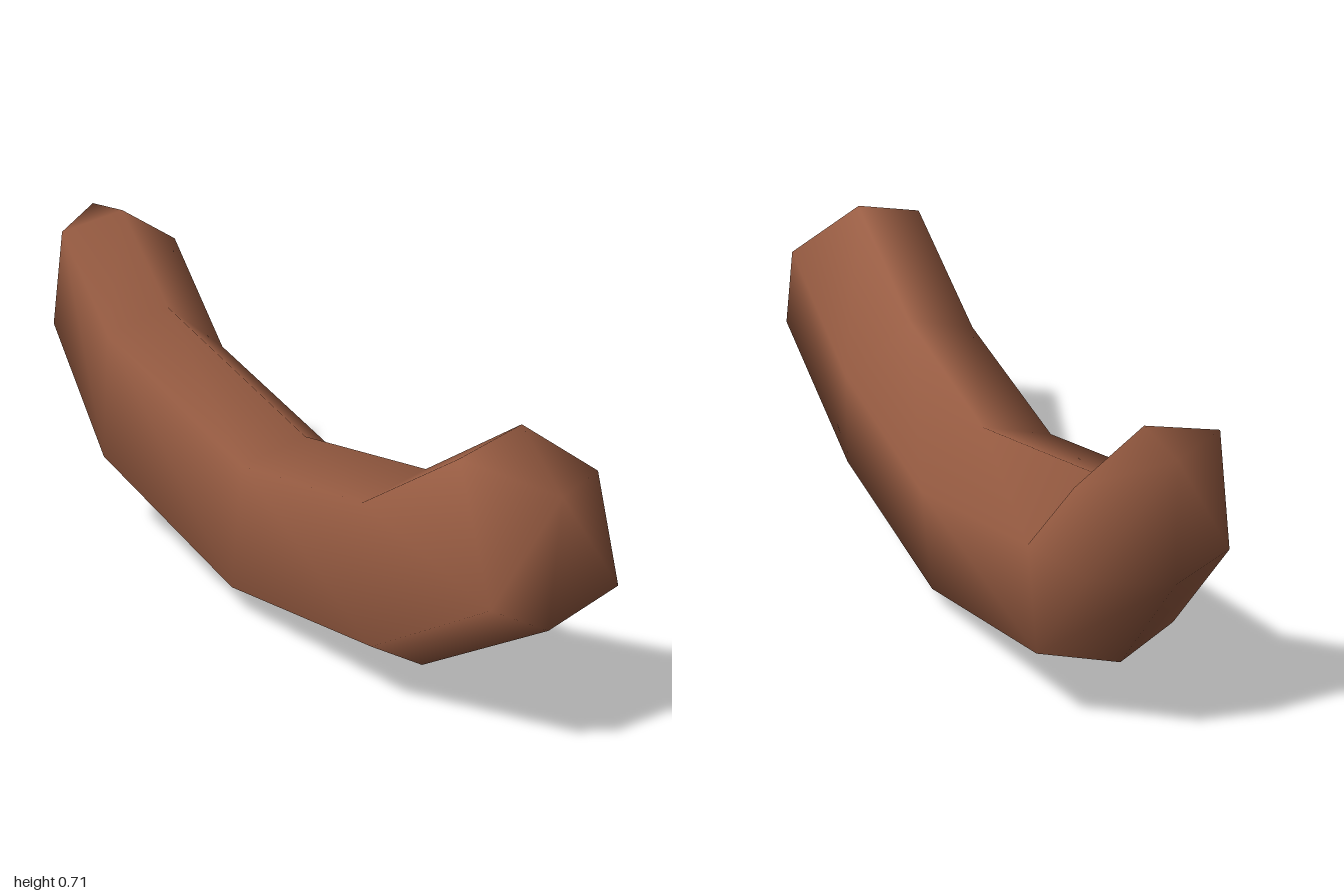
import * as THREE from 'three';

// Six-sided cross-section: x offset, and height as a fraction of the half-height vector
const SECTION = [[0.005, 1], [-0.155, 0.8], [-0.16, -0.68], [-0.04, -1], [0.145, -0.74], [0.158, 0.4]];

// Rings from front to back: centre x, y, z, then the tilted half-height vector (y, z)
const RINGS = [
  [-0.03, 0.472, 0.90, 0.183, -0.08],
  [-0.03, 0.27, 0.53, 0.2, -0.03],
  [0, 0.197, -0.025, 0.197, 0.025],
  [0.025, 0.325, -0.645, 0.205, 0.015],
  [0.032, 0.557, -0.88, 0.158, 0.03],
];
const FRONT_TIP = [-0.06, 0.565, 1];
const BACK_TIP = [0.04, 0.70, -1];

function curvedBody() {
  const n = SECTION.length;
  const points = [];
  const index = [];
  for (const [cx, cy, cz, uy, uz] of RINGS) {
    for (const [x, v] of SECTION) points.push(cx + x, cy + v * uy, cz + v * uz);
  }
  const front = RINGS.length * n;
  const back = front + 1;
  points.push(...FRONT_TIP, ...BACK_TIP);

  const last = (RINGS.length - 1) * n;
  for (let j = 0; j < n; j++) {
    const k = (j + 1) % n;
    // Side walls
    for (let r = 0; r < last; r += n) {
      index.push(r + j, r + n + j, r + k, r + k, r + n + j, r + n + k);
    }
    // Pointed ends
    index.push(front, j, k, back, last + k, last + j);
  }
  const geometry = new THREE.BufferGeometry();
  geometry.setAttribute('position', new THREE.Float32BufferAttribute(points, 3));
  geometry.setIndex(index);
  geometry.computeVertexNormals();
  return geometry;
}

export function createModel() {
  const group = new THREE.Group();
  group.name = 'sausage';
  const brown = new THREE.MeshStandardMaterial({ color: 0x985c42 });
  brown.name = 'sausageBrown';
  const body = new THREE.Mesh(curvedBody(), brown);
  body.name = 'sausageBody';
  group.add(body);
  return group;
}
